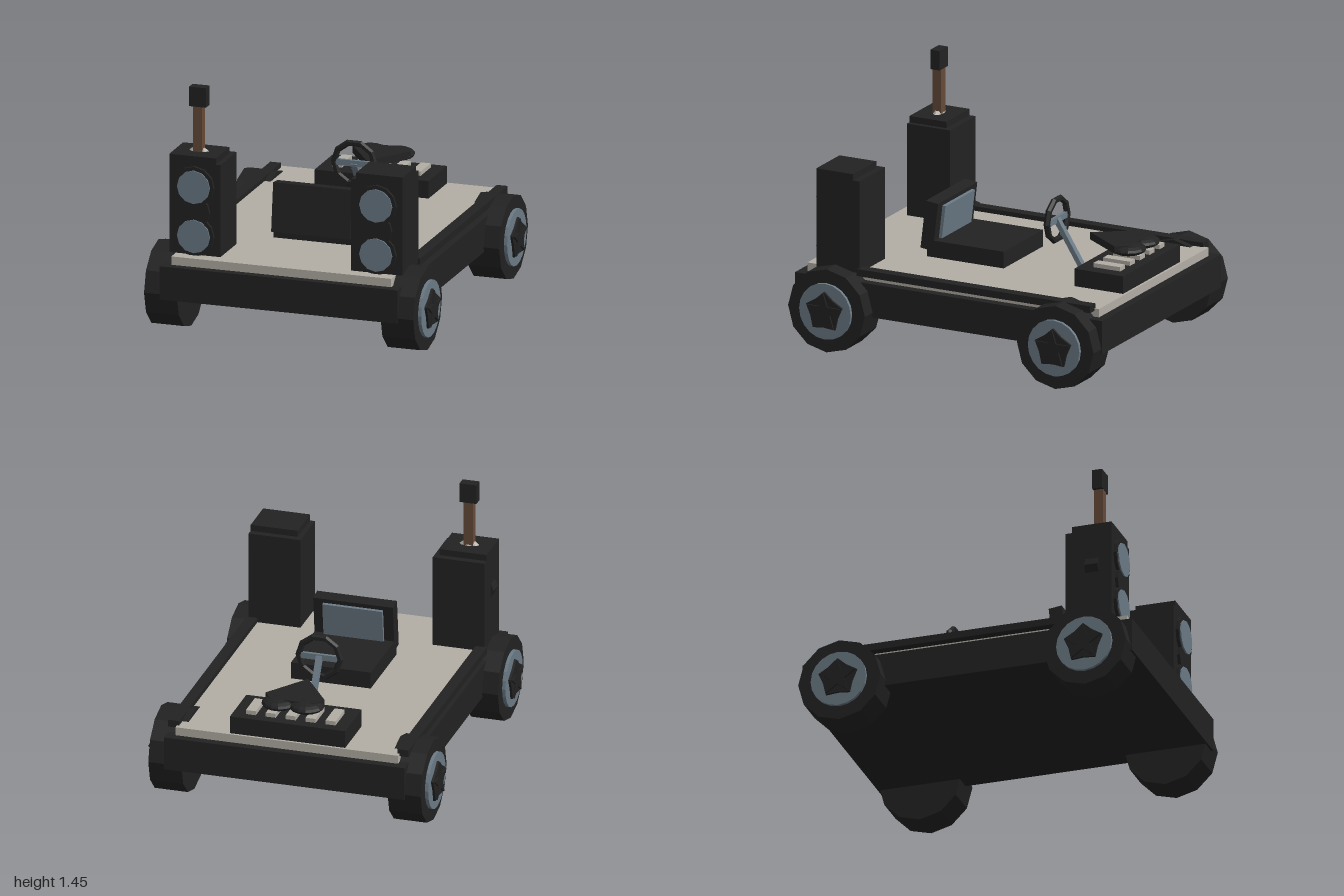
import * as THREE from 'three';

const mat = (name, color) => Object.assign(new THREE.MeshStandardMaterial({ color, flatShading: true }), { name });

export function createModel() {
  const black = mat('black', 0x222222);
  const steel = mat('steel', 0x6b7a85);
  const cream = mat('cream', 0xb2aea5);
  const wood = mat('wood', 0x664a38);
  const root = new THREE.Group();
  root.name = 'partyCart';

  const add = (name, geo, m, parent = root) => {
    const mesh = new THREE.Mesh(geo, m);
    mesh.name = name;
    parent.add(mesh);
    return mesh;
  };
  // Box given by its lower and upper limits on each axis
  const box = (name, m, x0, x1, y0, y1, z0, z1, parent) => {
    const mesh = add(name, new THREE.BoxGeometry(x1 - x0, y1 - y0, z1 - z0), m, parent);
    mesh.position.set((x0 + x1) / 2, (y0 + y1) / 2, (z0 + z1) / 2);
    return mesh;
  };
  // Disc between two depths along z
  const disc = (name, m, r, x, y, z0, z1, sides, parent) => {
    const geo = new THREE.CylinderGeometry(r, r, z1 - z0, sides).rotateX(Math.PI / 2);
    const mesh = add(name, geo, m, parent);
    mesh.position.set(x, y, (z0 + z1) / 2);
    return mesh;
  };
  const group = (name, x = 0, y = 0, z = 0) => {
    const g = new THREE.Group();
    g.name = name;
    g.position.set(x, y, z);
    root.add(g);
    return g;
  };

  // Chassis, deck and side rails
  box('chassis', black, -0.725, 0.725, 0.22, 0.42, -1, 1);
  box('deck', cream, -0.67, 0.67, 0.42, 0.47, -0.95, 0.95);
  for (const s of [-1, 1]) {
    const rail = box('sideRail', black, -0.033, 0.033, 0.455, 0.497, -0.92, 0.6);
    rail.position.x = s * 0.69;
  }

  // Five-armed star outline for the wheel hubs
  const star = (outer, inner) => {
    const pts = [];
    for (let i = 0; i < 10; i++) {
      const a = Math.PI / 2 + i * Math.PI / 5;
      const r = i % 2 ? inner : outer;
      pts.push(new THREE.Vector2(Math.cos(a) * r, Math.sin(a) * r));
    }
    return new THREE.Shape(pts);
  };
  const starGeo = (outer, inner, depth) =>
    new THREE.ExtrudeGeometry(star(outer, inner), { depth, bevelEnabled: false });

  // Wheels, built with the outer face toward local +z
  for (const s of [-1, 1]) for (const z of [-0.745, 0.745]) {
    const w = group('wheel', s * 0.72, 0.25, z);
    w.rotation.y = s * Math.PI / 2;
    disc('tyre', black, 0.25, 0, 0, -0.1, 0.1, 12, w);
    disc('rim', steel, 0.168, 0, 0, 0.1, 0.12, 20, w);
    add('hub', starGeo(0.122, 0.092, 0.014), black, w).position.z = 0.12;
    add('hubStar', starGeo(0.115, 0.045, 0.011), black, w).position.z = 0.134;
  }

  // Loudspeakers
  for (const s of [-1, 1]) {
    const sp = group('loudspeaker');
    const span = (a, b) => (s > 0 ? [a, b] : [-b, -a]);
    box('cabinet', black, ...span(0.398, 0.71), 0.47, 1.022, 0.59, 0.87, sp);
    box('cabinetTop', black, ...span(0.427, 0.71), 1.022, 1.06, 0.63, 0.87, sp);
    for (const y of [0.88, 0.585]) {
      disc('coneSurround', black, 0.122, s * 0.555, y, 0.86, 0.888, 12, sp);
      disc('cone', steel, 0.1, s * 0.555, y, 0.88, 0.896, 12, sp);
    }
    disc('middleCone', black, 0.095, s * 0.555, 0.73, 0.86, 0.888, 12, sp);
  }

  // String instrument standing in the right-hand cabinet
  const guitar = group('stringInstrument');
  disc('instrumentBody', black, 0.16, -0.568, 0.8, 0.71, 0.79, 8, guitar);
  const collar = add('collar', new THREE.CylinderGeometry(0.04, 0.065, 0.02, 8), cream, guitar);
  collar.position.set(-0.57, 1.066, 0.75);
  collar.scale.z = 0.5;
  box('neck', wood, -0.598, -0.542, 1.05, 1.335, 0.725, 0.78, guitar);
  box('headstock', black, -0.62, -0.518, 1.33, 1.447, 0.722, 0.782, guitar);

  // Seat, facing the back end
  const seat = group('seat');
  box('seatBase', black, -0.24, 0.24, 0.47, 0.57, -0.1, 0.4, seat);
  const back = group('seatBack', 0, 0.655, 0.385);
  back.rotation.x = -0.12;
  box('backrest', black, -0.24, 0.24, -0.145, 0.145, -0.04, 0.04, back);
  box('backPad', steel, -0.18, 0.18, -0.09, 0.12, -0.06, -0.04, back);

  // Steering wheel and column
  const steer = group('steeringWheel', 0, 0.733, -0.32);
  add('steeringRing', new THREE.TorusGeometry(0.125, 0.019, 6, 10), black, steer);
  box('steeringBar', steel, -0.115, 0.115, -0.018, 0.018, -0.01, 0.01, steer);
  const column = add('steeringColumn', new THREE.BoxGeometry(0.036, 0.31, 0.03), steel);
  column.position.set(0, 0.605, -0.4);
  column.rotation.x = 0.559;

  // Keyboard with pale keys
  box('keyboard', black, -0.347, 0.347, 0.47, 0.575, -0.935, -0.617);
  for (let i = -2; i <= 2; i++) {
    box('key', cream, i * 0.12 - 0.03, i * 0.12 + 0.03, 0.57, 0.6, -0.875, -0.7);
  }

  // Heart lying above the keyboard: two flattened lobes and a pointed slab
  const heart = group('heart', 0, 0.655, 0);
  for (const s of [-1, 1]) {
    const lobe = add('heartLobe', new THREE.SphereGeometry(0.103, 14, 8), black, heart);
    lobe.scale.y = 0.34;
    lobe.position.set(s * 0.083, 0, -0.83);
  }
  const tip = new THREE.Shape([[0, 0.535], [0.178, 0.79], [0.13, 0.86], [-0.13, 0.86], [-0.178, 0.79]]
    .map(([x, y]) => new THREE.Vector2(x, y)));
  const tipGeo = new THREE.ExtrudeGeometry(tip, { depth: 0.044, bevelEnabled: false });
  add('heartPoint', tipGeo.rotateX(-Math.PI / 2), black, heart).position.y = -0.012;

  return root;
}
